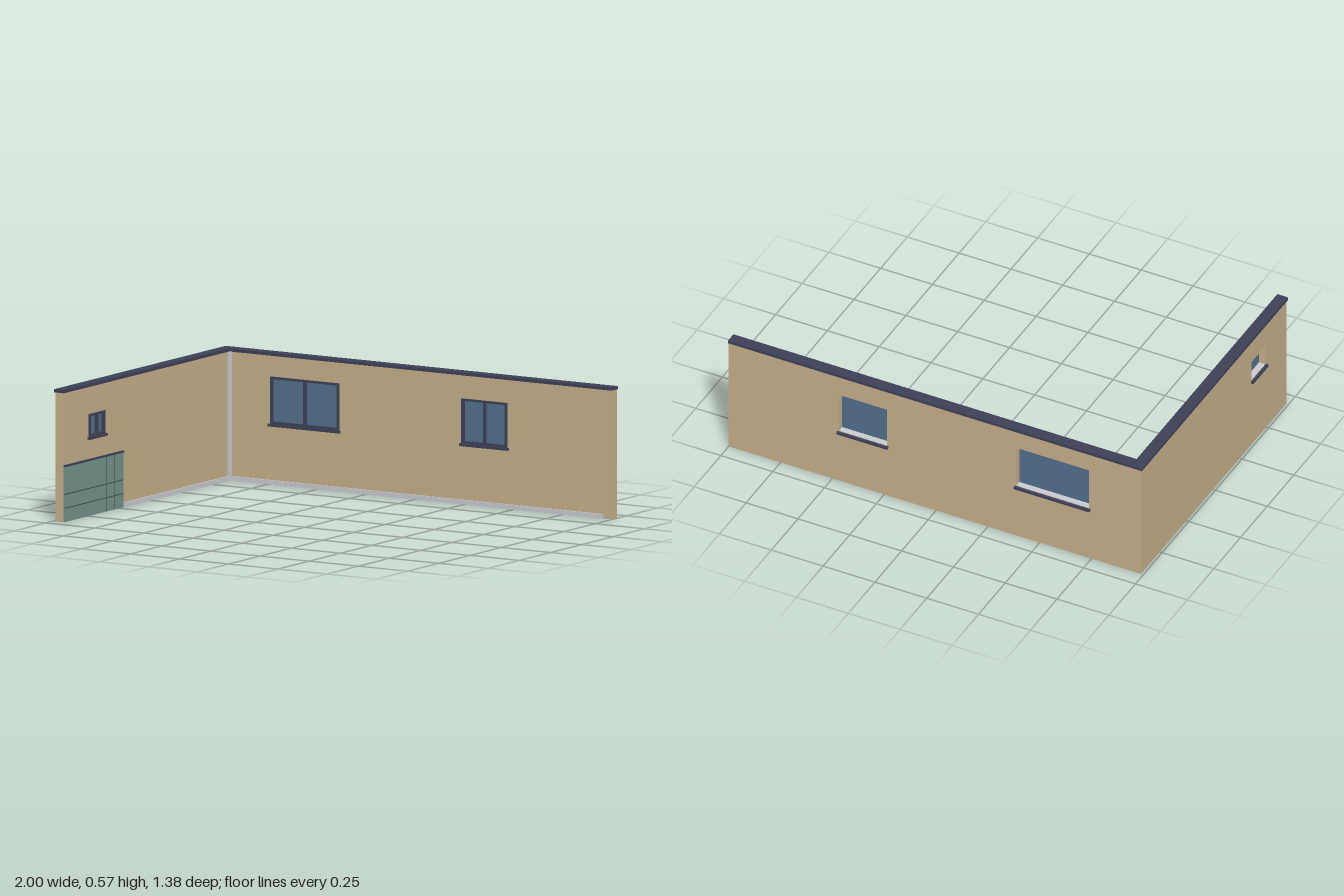
import * as THREE from 'three';

const material = (name, color) => {
  const m = new THREE.MeshStandardMaterial({ color });
  m.name = name;
  return m;
};

export function createModel() {
  const plaster = material('sand plaster', 0xc6af8b);
  const navy = material('dark navy', 0x3d4157);
  const glass = material('blue glass', 0x52708c);
  const tile = material('green tile', 0x74928a);
  const grout = material('dark grout', 0x3c524e);
  const trim = material('light trim', 0xcacad2);
  const H = 0.56, T = 0.042;

  // box given by its limits on each axis
  function box(parent, name, mat, [x0, x1], [y0, y1], [z0, z1]) {
    const mesh = new THREE.Mesh(new THREE.BoxGeometry(x1 - x0, y1 - y0, z1 - z0), mat);
    mesh.position.set((x0 + x1) / 2, (y0 + y1) / 2, (z0 + z1) / 2);
    mesh.name = name;
    parent.add(mesh);
  }

  // window: pane, frame with mullion, and a sill passing through the wall
  function addWindow(wall, { x0, x1, y0, y1 }) {
    const g = new THREE.Group();
    g.name = 'window';
    const w = 0.01, mid = (x0 + x1) / 2, z = [-0.008, 0.006];
    box(g, 'glassPane', glass, [x0, x1], [y0, y1], [-0.012, -0.008]);
    for (const x of [x0, mid - w / 2, x1 - w]) box(g, 'frameUpright', navy, [x, x + w], [y0, y1], z);
    for (const y of [y0, y1 - w]) box(g, 'frameRail', navy, [x0 + w, x1 - w], [y, y + w], [-0.008, 0.0055]);
    box(g, 'sill', navy, [x0 - 0.007, x1 + 0.007], [y0 - 0.011, y0], [-0.054, 0.014]);
    box(g, 'ledge', trim, [x0, x1], [y0, y0 + 0.002], [-0.04, -0.012]);
    wall.add(g);
  }

  // wall whose inner face is local z = 0, with window openings, coping and skirting
  function buildWall(name, [a, b], windows, cap, skirting) {
    const g = new THREE.Group();
    g.name = name;
    const shape = new THREE.Shape([[a, 0], [b, 0], [b, H], [a, H]].map(p => new THREE.Vector2(...p)));
    for (const { x0, x1, y0, y1 } of windows) {
      shape.holes.push(new THREE.Path([[x0, y0], [x0, y1], [x1, y1], [x1, y0]].map(p => new THREE.Vector2(...p))));
    }
    const body = new THREE.Mesh(new THREE.ExtrudeGeometry(shape, { depth: T, bevelEnabled: false }), plaster);
    body.position.z = -T;
    body.name = 'wallBody';
    g.add(body);
    windows.forEach(w => addWindow(g, w));
    box(g, 'coping', navy, cap, [H, 0.573], [-0.05, 0.002]);
    box(g, 'skirting', trim, skirting, [0, 0.02], [0, 0.007]);
    return g;
  }

  const model = new THREE.Group();
  model.name = 'cornerWalls';

  // long wall along the back
  const back = buildWall('backWall', [-0.989, 1], [
    { x0: -0.737, x1: -0.387, y0: 0.265, y1: 0.47 },
    { x0: 0.237, x1: 0.468, y0: 0.265, y1: 0.46 },
  ], [-0.997, 1], [-0.947, 0.957]);
  back.position.z = -0.634;
  model.add(back);

  // side wall, local x runs towards the back
  const side = buildWall('sideWall', [-0.689, 0.634], [
    { x0: -0.49, x1: -0.362, y0: 0.343, y1: 0.442 },
  ], [-0.689, 0.632], [-0.217, 0.634]);
  side.rotation.y = Math.PI / 2;
  side.position.x = -0.947;
  model.add(side);

  // tiled panel with grout lines and a dark top edge
  const panel = new THREE.Group();
  panel.name = 'tiledPanel';
  box(panel, 'tiles', tile, [-0.689, -0.217], [0, 0.24], [0, 0.004]);
  for (const y of [0.06, 0.12]) box(panel, 'groutRow', grout, [-0.689, -0.217], [y - 0.002, y + 0.002], [0.001, 0.005]);
  for (const x of [-0.352, -0.286]) box(panel, 'groutColumn', grout, [x - 0.002, x + 0.002], [0, 0.24], [0.001, 0.0048]);
  box(panel, 'tileEdge', navy, [-0.689, -0.215], [0.239, 0.247], [0, 0.007]);
  side.add(panel);

  // light strip in the inner corner
  box(model, 'cornerTrim', trim, [-0.947, -0.934], [0, H], [-0.634, -0.62]);

  return model;
}
